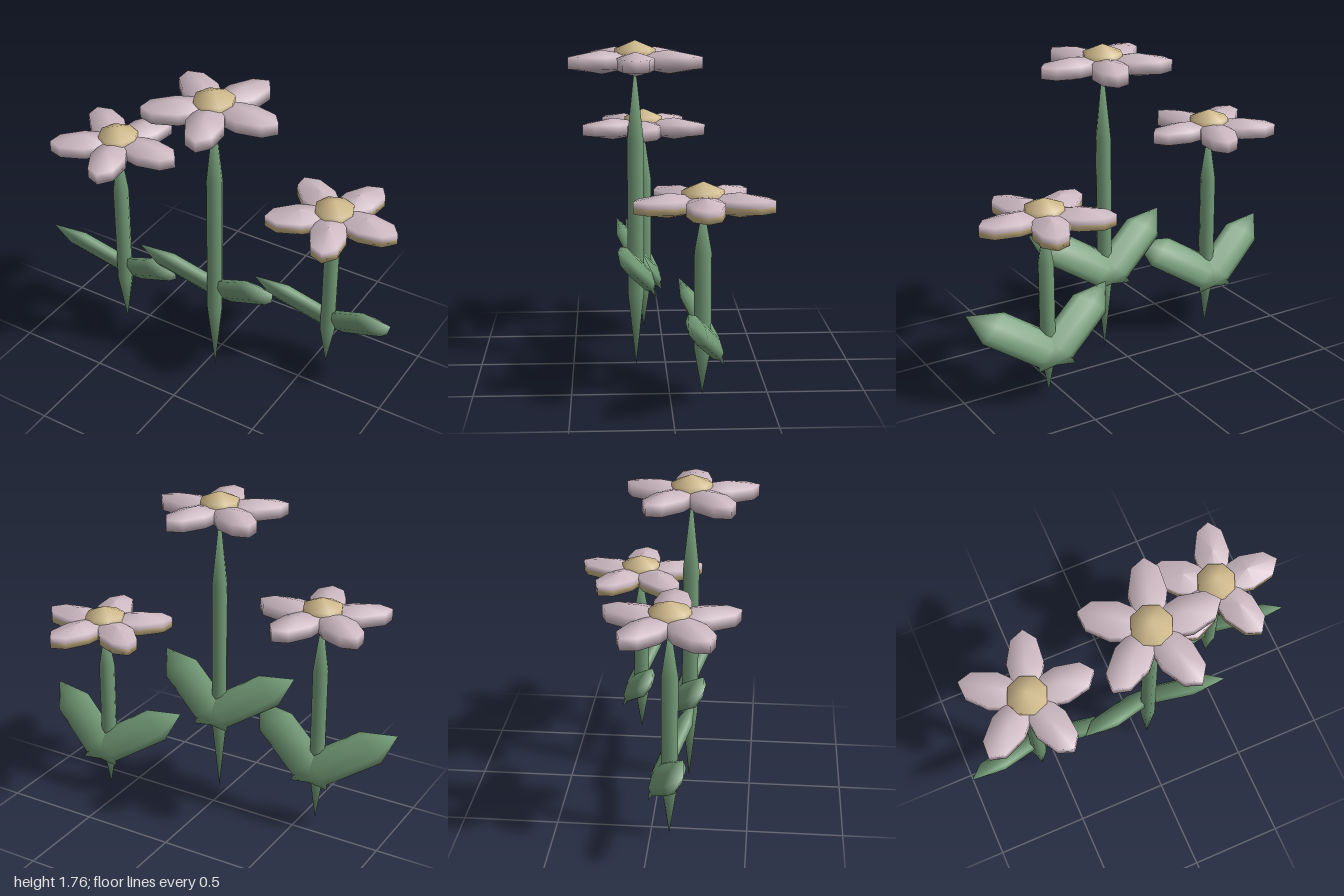
import * as THREE from 'three';

const material = (name, color) => {
  const m = new THREE.MeshStandardMaterial({ color });
  m.name = name;
  return m;
};

export function createModel() {
  const green = material('leaf green', 0x739b77);
  const pink = material('petal pink', 0xcbb7c0);
  const tan = material('pollen tan', 0xd0ba8c);

  // Low-poly blob shared by every part: rings at +-0.5, poles at +-1
  const blob = new THREE.SphereGeometry(1, 8, 3);
  const R = 0.866;
  const half = (...points) =>
    new THREE.LatheGeometry(points.map(([x, y]) => new THREE.Vector2(x, y)), 8);
  const lowerHalf = half([0, -1], [R, -0.5], [R, 0]);
  const upperHalf = half([R, 0], [R, 0.5], [0, 1]);

  const add = (parent, name, geometry, mat, position, scale) => {
    const mesh = new THREE.Mesh(geometry, mat);
    mesh.name = name;
    if (position) mesh.position.set(...position);
    if (scale) mesh.scale.set(...scale);
    parent.add(mesh);
    return mesh;
  };

  // Leaf: blob stretched along a rising, forward-leaning direction
  const leafGeometry = (side) => {
    const along = new THREE.Vector3(side * 0.26, 0.158, 0.1);
    const across = new THREE.Vector3(-side * 0.08, 0.056, 0.035).divideScalar(R);
    const thick = new THREE.Vector3().crossVectors(across, along).setLength(0.05);
    return blob.clone().applyMatrix4(new THREE.Matrix4().makeBasis(across, along, thick));
  };
  const leaves = { leftLeaf: 1, rightLeaf: -1 };

  const makeFlower = ({ name, x, z, bottom, head, leafY, twoTone }) => {
    const flower = new THREE.Group();
    flower.name = name;
    flower.position.set(x, 0, z);

    // Stem, pointed at both ends
    add(flower, 'stem', blob, green, [0, (bottom + head) / 2, 0], [0.05, (head - bottom) / 2, 0.05]);

    // Mirrored pair of leaves
    for (const [leafName, side] of Object.entries(leaves)) {
      add(flower, leafName, leafGeometry(side), green, [side * 0.152, leafY, 0]);
    }

    // Five petals around the centre
    const petalSize = [0.21, 0.062, 0.11];
    for (let i = 0; i < 5; i++) {
      const petal = new THREE.Group();
      petal.name = 'petal';
      petal.position.y = head;
      petal.rotation.y = (i * Math.PI * 2) / 5;
      if (twoTone) {
        add(petal, 'petalTop', upperHalf, pink, [0.181, 0, 0], petalSize);
        add(petal, 'petalUnderside', lowerHalf, tan, [0.181, 0, 0], petalSize);
      } else {
        add(petal, 'petalBody', blob, pink, [0.181, 0, 0], petalSize);
      }
      flower.add(petal);
    }

    // Domed centre
    add(flower, 'flowerCentre', blob, tan, [0, head + 0.018, 0], [0.123, 0.09, 0.123]);
    return flower;
  };

  const model = new THREE.Group();
  model.name = 'flowers';
  model.add(
    makeFlower({ name: 'rightFlower', x: -0.588, z: 0.1, bottom: 0.02, head: 1.215, leafY: 0.435 }),
    makeFlower({ name: 'middleFlower', x: 0.055, z: 0.16, bottom: 0, head: 1.655, leafY: 0.58 }),
    makeFlower({ name: 'leftFlower', x: 0.585, z: -0.16, bottom: 0.025, head: 1.01, leafY: 0.37, twoTone: true }),
  );
  return model;
}
